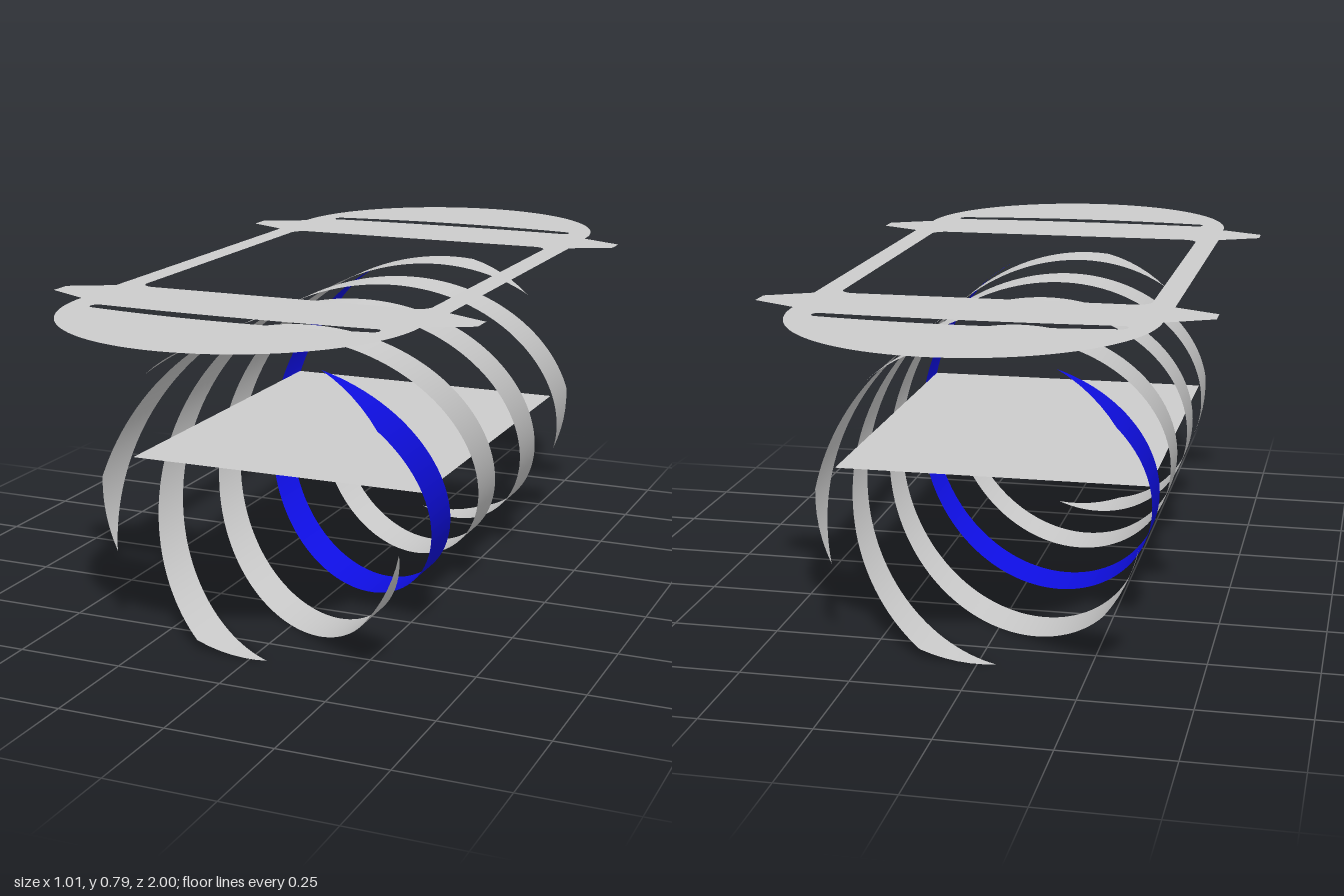
import * as THREE from 'three';

const R = 0.3635;                              // radius of the helical cage
const HALF = 0.6;                              // half length of the cage
const TWIST = THREE.MathUtils.degToRad(228);   // turn per unit length
const WIDTH = THREE.MathUtils.degToRad(28);    // angular width of a band
const BANDS = 5;

// Thin band wound round the z axis, cut square at both ends
function bandGeometry(phase) {
  const nz = 96, nw = 6, pos = [], normal = [], index = [];
  for (let i = 0; i <= nz; i++) {
    const z = -HALF + (2 * HALF * i) / nz;
    for (let j = 0; j <= nw; j++) {
      const a = phase + TWIST * z + WIDTH * (j / nw - 0.5);
      pos.push(R * Math.sin(a), R - R * Math.cos(a), z);
      normal.push(Math.sin(a), -Math.cos(a), 0);
      if (i < nz && j < nw) {
        const p = i * (nw + 1) + j, q = p + nw + 1;
        index.push(p, p + 1, q, p + 1, q + 1, q);
      }
    }
  }
  const g = new THREE.BufferGeometry();
  g.setAttribute('position', new THREE.Float32BufferAttribute(pos, 3));
  g.setAttribute('normal', new THREE.Float32BufferAttribute(normal, 3));
  g.setIndex(index);
  return g;
}

// Outline of the top plate: straight sides, four tabs, round ends
function plateShape() {
  const s = new THREE.Shape();
  const tab = [[0.405, 0.44], [0.505, 0.492], [0.505, 0.545], [0.4, 0.6]];
  s.moveTo(0.405, -0.44);
  tab.forEach(([x, z]) => s.lineTo(x, z));
  s.absarc(0, 0.6, 0.4, 0, Math.PI, false);
  [...tab].reverse().forEach(([x, z]) => s.lineTo(-x, z));
  tab.forEach(([x, z]) => s.lineTo(-x, -z));
  s.absarc(0, -0.6, 0.4, Math.PI, 2 * Math.PI, false);
  [...tab].reverse().forEach(([x, z]) => s.lineTo(x, -z));

  // Window with rounded corners
  const w = 0.35, h = 0.428, r = 0.035;
  const win = new THREE.Path();
  win.absarc(w - r, h - r, r, 0, Math.PI / 2, false);
  win.absarc(-w + r, h - r, r, Math.PI / 2, Math.PI, false);
  win.absarc(-w + r, -h + r, r, Math.PI, Math.PI * 1.5, false);
  win.absarc(w - r, -h + r, r, Math.PI * 1.5, Math.PI * 2, false);
  s.holes.push(win);

  // Curved slot at each end
  for (const k of [1, -1]) {
    const slot = new THREE.Path();
    slot.moveTo(-0.33, 0.648 * k);
    slot.quadraticCurveTo(0, 0.67 * k, 0.33, 0.648 * k);
    slot.quadraticCurveTo(0.345, 0.665 * k, 0.33, 0.68 * k);
    slot.quadraticCurveTo(0, 0.733 * k, -0.33, 0.68 * k);
    slot.quadraticCurveTo(-0.345, 0.665 * k, -0.33, 0.648 * k);
    s.holes.push(slot);
  }
  return s;
}

export function createModel() {
  const side = THREE.DoubleSide;
  const grey = new THREE.MeshStandardMaterial({ color: 0xcccccc, side });
  grey.name = 'light grey';
  const blue = new THREE.MeshStandardMaterial({ color: 0x1010f0, side });
  blue.name = 'blue';

  const model = new THREE.Group();
  model.name = 'helicalCage';
  const add = (name, geometry, material, y = 0) => {
    const m = new THREE.Mesh(geometry, material);
    m.name = name;
    m.position.y = y;
    model.add(m);
  };

  // Helical bands, the first one blue
  for (let i = 0; i < BANDS; i++) {
    add(i ? `greyBand${i}` : 'blueBand', bandGeometry((i * 2 * Math.PI) / BANDS), i ? grey : blue);
  }

  // Flat sheets: framed top plate and plain middle plate
  add('topPlate', new THREE.ShapeGeometry(plateShape(), 32).rotateX(-Math.PI / 2), grey, 0.79);
  add('middlePlate', new THREE.PlaneGeometry(0.72, 0.93).rotateX(-Math.PI / 2), grey, 0.393);
  return model;
}
